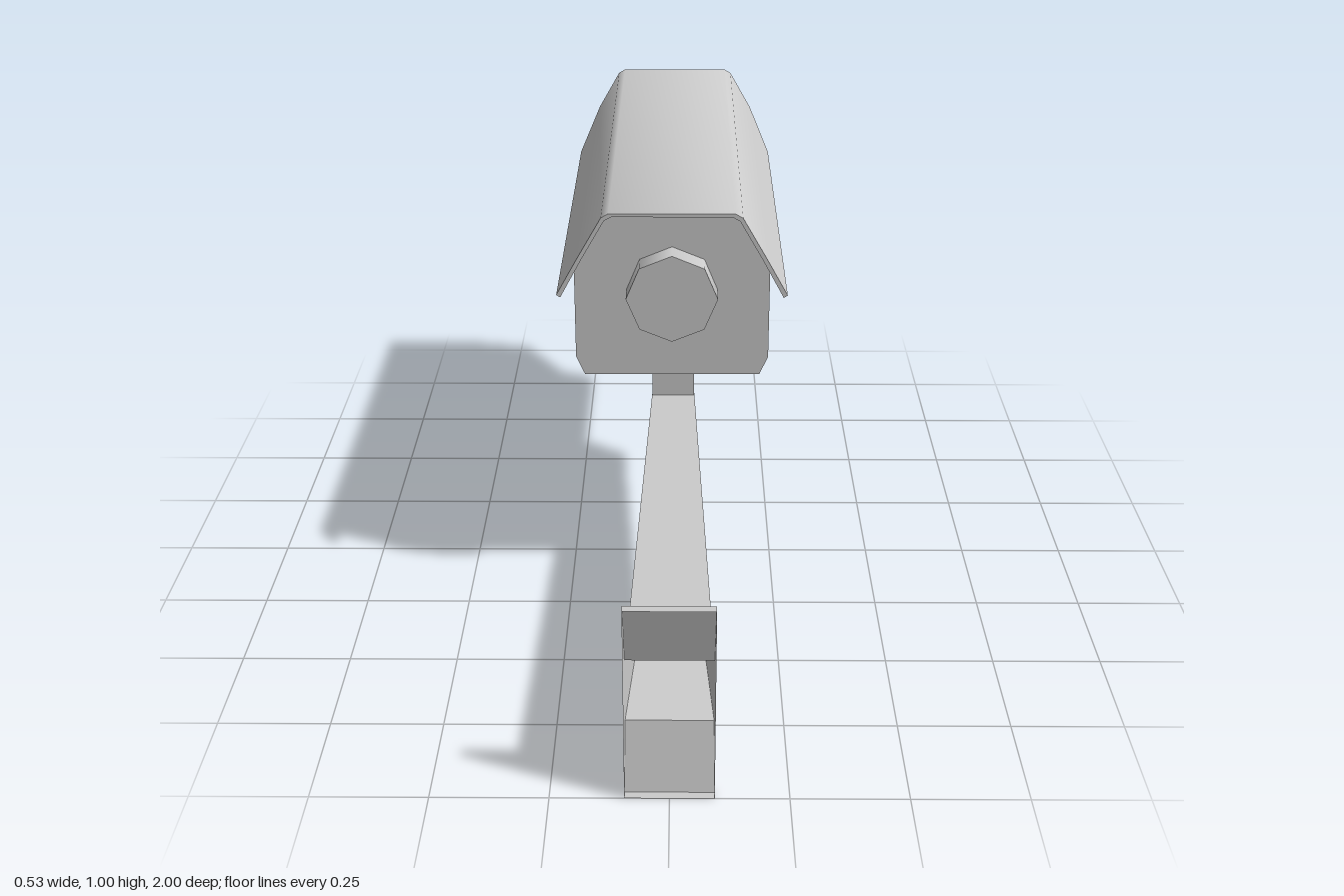
import * as THREE from 'three';
import { toCreasedNormals } from 'three/addons/utils/BufferGeometryUtils.js';

const solid = new THREE.MeshStandardMaterial({ color: 0xcccccc });
const shell = new THREE.MeshStandardMaterial({ color: 0xcccccc, side: THREE.DoubleSide });

function add(group, name, geometry, material = solid) {
  const mesh = new THREE.Mesh(geometry, material);
  mesh.name = name;
  group.add(mesh);
  return mesh;
}

const shapeOf = (pts) => new THREE.Shape(pts.map(([x, y]) => new THREE.Vector2(x, y)));

// Extrude a shape from z0 to z1
function prism(shape, z0, z1) {
  const g = new THREE.ExtrudeGeometry(shape, { depth: z1 - z0, bevelEnabled: false, curveSegments: 8 });
  return g.translate(0, 0, z0);
}

// Right half of a profile, mirrored to a closed outline
const mirrored = (half) => [...half, ...half.map(([x, y]) => [-x, y]).reverse()];

// Rectangular sections [z, halfWidth, yLow, yHigh], listed with rising z
function loft(sections, capStart, capEnd) {
  const rings = sections.map(([z, w, lo, hi]) => [[-w, lo, z], [w, lo, z], [w, hi, z], [-w, hi, z]]);
  const pos = [];
  const quad = (a, b, c, d) => pos.push(...a, ...b, ...c, ...a, ...c, ...d);
  for (let s = 0; s < rings.length - 1; s++) {
    for (let i = 0; i < 4; i++) {
      const j = (i + 1) % 4;
      quad(rings[s][i], rings[s][j], rings[s + 1][j], rings[s + 1][i]);
    }
  }
  if (capStart) quad(...[...rings[0]].reverse());
  if (capEnd) quad(...rings[rings.length - 1]);
  const g = new THREE.BufferGeometry();
  g.setAttribute('position', new THREE.Float32BufferAttribute(pos, 3));
  g.computeVertexNormals();
  return g;
}

function box(x0, x1, y0, y1, z0, z1) {
  return new THREE.BoxGeometry(x1 - x0, y1 - y0, z1 - z0)
    .translate((x0 + x1) / 2, (y0 + y1) / 2, (z0 + z1) / 2);
}

function buildHousing() {
  const g = new THREE.Group();
  g.name = 'housing';
  const outline = mirrored([[0.205, 0.59], [0.225, 0.635], [0.225, 0.855], [0.155, 0.98], [0.14, 0.988]]);

  // Main case, with a frame around the recessed window in front of it
  add(g, 'case', toCreasedNormals(prism(shapeOf(outline), -0.83, 0.185), 0.7));
  const frame = shapeOf(outline);
  const w = 0.138, lo = 0.655, hi = 0.925, r = 0.03;
  const hole = new THREE.Path();
  hole.moveTo(-w + r, lo);
  hole.lineTo(w - r, lo);
  hole.quadraticCurveTo(w, lo, w, lo + r);
  hole.lineTo(w, hi - r);
  hole.quadraticCurveTo(w, hi, w - r, hi);
  hole.lineTo(-w + r, hi);
  hole.quadraticCurveTo(-w, hi, -w, hi - r);
  hole.lineTo(-w, lo + r);
  hole.quadraticCurveTo(-w, lo, -w + r, lo);
  frame.holes.push(hole);
  add(g, 'windowFrame', toCreasedNormals(prism(frame, -0.858, -0.83), 0.7));

  // Eight-sided cable cap
  const cap = new THREE.CylinderGeometry(0.105, 0.105, 0.065, 8);
  add(g, 'cableCap', cap.rotateX(Math.PI / 2).translate(0, 0.805, 0.2125));
  return g;
}

// Sun hood: a folded sheet whose overhanging corners are cut back
function buildHood(group) {
  const outer = [[0.265, 0.803], [0.217, 0.89], [0.16, 0.99], [0.143, 1]];
  const inner = [[0.136, 0.992], [0.153, 0.983], [0.206, 0.89], [0.256, 0.797]];
  const right = [...inner.slice().reverse(), ...outer.slice().reverse()];
  const sheet = shapeOf([
    ...outer, ...outer.map(([x, y]) => [-x, y]).reverse(),
    ...inner.slice().reverse().map(([x, y]) => [-x, y]),
    ...right.slice(0, 4).reverse(),
  ]);
  const g = prism(sheet, -1, 0.215);
  const p = g.attributes.position;
  for (let i = 0; i < p.count; i++) {
    if (p.getZ(i) < -0.9 && p.getY(i) < 0.85) p.setZ(i, -0.85);
  }
  g.computeVertexNormals();
  add(group, 'sunHood', toCreasedNormals(g, 0.7), shell);
}

function buildMount() {
  const g = new THREE.Group();
  g.name = 'mount';

  // Hollow wall plate flowing into the tapered arm, open toward the wall
  add(g, 'wallArm', loft([
    [-0.41, 0.053, 0.247, 0.305],
    [0.945, 0.092, 0.157, 0.305],
    [0.98, 0.094, 0, 0.457],
    [1, 0.094, 0, 0.457],
  ], true, false), shell);
  add(g, 'armRecess', loft([
    [0.5, 0.058, 0.19, 0.273],
    [0.945, 0.092, 0.157, 0.305],
  ], true, false), shell);

  // Chamfered arm tip, lying flat
  const tip = prism(shapeOf(mirrored([[0.055, 0.35], [0.055, 0.45], [0.03, 0.475]])), 0.247, 0.305);
  add(g, 'armTip', tip.rotateX(-Math.PI / 2));

  // Post, neck and flared swivel head
  add(g, 'post', box(-0.055, 0.055, 0.3, 0.378, -0.41, -0.29));
  const neck = new THREE.CylinderGeometry(0.04, 0.04, 0.04, 12);
  add(g, 'neck', neck.translate(0, 0.39, -0.35));
  add(g, 'swivelHead', loft([
    [0.4, 0.055, 0.295, 0.405],
    [0.555, 0.078, 0.268, 0.432],
  ], true, true).rotateX(-Math.PI / 2));

  // Pivot rod
  const rod = new THREE.CylinderGeometry(0.017, 0.017, 0.39, 12);
  add(g, 'pivotRod', rod.rotateZ(Math.PI / 2).translate(0, 0.505, -0.35));

  // Rounded ears with pivot holes, one on each side
  const ear = new THREE.Shape();
  ear.moveTo(0.083, 0.595);
  ear.lineTo(-0.083, 0.595);
  ear.lineTo(-0.083, 0.538);
  ear.absarc(0, 0.538, 0.083, Math.PI, Math.PI * 2, false);
  const pin = new THREE.Path();
  pin.absarc(0, 0.505, 0.019, 0, Math.PI * 2, true);
  ear.holes.push(pin);
  for (const side of [-1, 1]) {
    const geo = toCreasedNormals(prism(ear, -0.015, 0.015), 0.7).rotateY(Math.PI / 2);
    add(g, side > 0 ? 'leftEar' : 'rightEar', geo.translate(side * 0.167, 0, -0.35));
  }
  return g;
}

export function createModel() {
  const model = new THREE.Group();
  model.name = 'securityCamera';
  const housing = buildHousing();
  buildHood(housing);
  model.add(housing, buildMount());
  return model;
}
